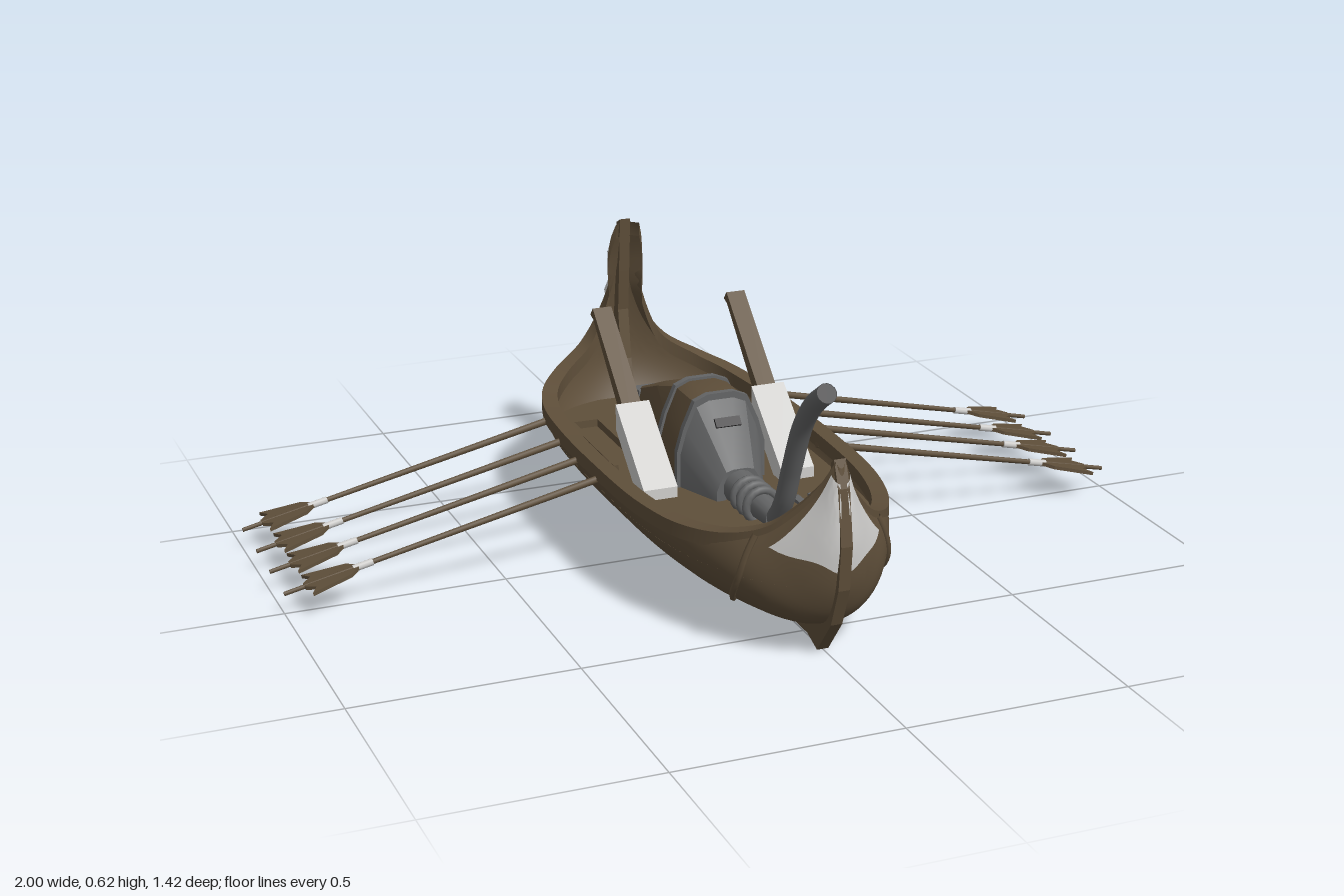
import * as THREE from 'three';
import { toCreasedNormals } from 'three/addons/utils/BufferGeometryUtils.js';

const mat = (name, color) => {
  const m = new THREE.MeshStandardMaterial({ color, side: THREE.DoubleSide });
  m.name = name;
  return m;
};
const V = (x, y, z) => new THREE.Vector3(x, y, z);

// Surface through rows of points
function loft(rows, crease = 0.6) {
  const n = rows[0].length, idx = [];
  for (let i = 0; i < rows.length - 1; i++)
    for (let j = 0; j < n - 1; j++) {
      const a = i * n + j, b = a + 1, c = a + n, d = c + 1;
      idx.push(a, c, b, b, c, d);
    }
  const g = new THREE.BufferGeometry().setFromPoints(rows.flat());
  g.setIndex(idx);
  return toCreasedNormals(g, crease);
}

// Plate drawn in the (z, y) plane and given a thickness across x
function sidePlate(points, depth) {
  const s = new THREE.Shape(points.map(p => new THREE.Vector2(p[0], p[1])));
  const g = new THREE.ExtrudeGeometry(s, { depth, bevelEnabled: false });
  return g.translate(0, 0, -depth / 2).rotateY(-Math.PI / 2);
}

// Hull stations from bow to stern: rim x, y, z, then keel y, z
const stations = [
  [0.008, 0.45, 0.672, 0.44, 0.68], [0.035, 0.39, 0.645, 0.34, 0.698],
  [0.07, 0.34, 0.617, 0.25, 0.70], [0.12, 0.29, 0.575, 0.15, 0.68],
  [0.18, 0.262, 0.51, 0.08, 0.63], [0.235, 0.247, 0.40, 0.055, 0.5],
  [0.27, 0.245, 0.25, 0.045, 0.3], [0.283, 0.245, 0, 0.045, 0],
  [0.28, 0.245, -0.25, 0.045, -0.25], [0.265, 0.248, -0.4, 0.05, -0.42],
  [0.235, 0.26, -0.49, 0.08, -0.5], [0.185, 0.28, -0.55, 0.14, -0.56],
  [0.1, 0.33, -0.595, 0.24, -0.61], [0.035, 0.45, -0.6, 0.36, -0.62],
  [0.008, 0.62, -0.575, 0.58, -0.585],
];
const last = stations.length - 1;
const rimCurve = new THREE.CatmullRomCurve3(stations.map(s => V(s[0], s[1], s[2])));
const keelCurve = new THREE.CatmullRomCurve3(stations.map(s => V(0, s[3], s[4])));
const rimAt = u => rimCurve.getPoint(u / last);
// v runs from -1 (right rim) through 0 (keel) to 1 (left rim)
function hullAt(u, v) {
  const r = rimAt(u), k = keelCurve.getPoint(u / last), a = v * Math.PI / 2;
  const h = 1 - Math.cos(a);
  return V(r.x * Math.sin(a), k.y + (r.y - k.y) * h, k.z + (r.z - k.z) * h);
}
const steps = (n, f) => Array.from({ length: n + 1 }, (_, i) => f(i / n));

export function createModel() {
  const root = new THREE.Group();
  root.name = 'rowingShip';
  const wood = mat('brown wood', 0x5f4f3a), metal = mat('grey metal', 0x646566);
  const pale = mat('pale cloth', 0xcfcecc), dark = mat('dark opening', 0x29282a);
  const add = (name, geo, m, parent = root) => {
    const mesh = new THREE.Mesh(geo, m);
    mesh.name = name;
    parent.add(mesh);
    return mesh;
  };
  const box = (name, m, w, h, d, x, y, z) =>
    add(name, new THREE.BoxGeometry(w, h, d).translate(x, y, z), m);

  // Hull shell
  add('hull', loft(steps(70, t => steps(32, q => hullAt(t * last, q * 2 - 1))), 1), wood);

  // Deck, cut to the hull at its height
  const deckY = 0.18;
  add('deck', loft(steps(40, t => {
    const u = 2.8 + t * 8.5, r = rimAt(u), k = keelCurve.getPoint(u / last);
    const v = Math.acos(1 - (deckY - k.y) / (r.y - k.y)) / Math.PI * 2;
    const p = hullAt(u, v);
    return [p, V(-p.x, p.y, p.z)];
  })), wood);

  for (const s of [-1, 1]) {
    const side = s > 0 ? 'left' : 'right';
    // Rim rail following the gunwale
    add(side + 'Rim', loft(steps(80, t => {
      const p = rimCurve.getPoint(t), d = rimCurve.getTangent(t);
      const len = Math.hypot(d.x, d.z) || 1, nx = -d.z / len, nz = d.x / len;
      const at = (o, y) => V(s * Math.max(0, p.x + nx * o), p.y + y, p.z + nz * o);
      return [at(0.005, -0.03), at(0.005, 0.003), at(-0.032, 0.003), at(-0.032, -0.03), at(0.005, -0.03)];
    })), wood);

    // Diagonal strip across the bow planking
    const strip = steps(12, t => hullAt(3.3 + 2.5 * t, s * (0.97 - 0.77 * t)));
    add(side + 'BowStrip', new THREE.TubeGeometry(new THREE.CatmullRomCurve3(strip), 24, 0.008, 6), wood);

    // Pale covering on the bow
    add(side + 'BowCover', loft(steps(16, t => steps(10, q => {
      const v = 0.08 + 0.78 * q;
      const end = 2.3 + 0.75 * q - 0.35 * Math.sin(q * Math.PI);
      const p = hullAt(0.3 + t * (end - 0.3), s * v);
      return V(p.x + s * 0.005, p.y, p.z + 0.005);
    })), 1), pale);

    // Slanted arm, its pale block and the slot frame around it
    const arm = sidePlate([[0.03, 0.18], [-0.275, 0.49], [-0.292, 0.512], [-0.262, 0.512], [-0.08, 0.355], [0.07, 0.2]].slice(0, 2)
      .concat([[-0.295, 0.497], [-0.278, 0.516], [0.03, 0.235]]), 0.045);
    add(side + 'Arm', arm.translate(s * 0.165, 0, 0), wood);
    const block = sidePlate([[0.09, 0.205], [-0.085, 0.35], [-0.085, 0.29], [0.05, 0.175], [0.09, 0.175]], 0.08);
    add(side + 'ArmBlock', block.translate(s * 0.165, 0, 0), pale);
    for (const x of [0.13, 0.2])
      box(side + 'SlotRail', wood, 0.012, 0.02, 0.31, s * x, 0.188, -0.255);
    box(side + 'SlotEnd', wood, 0.08, 0.02, 0.014, s * 0.165, 0.188, -0.41);

    // Four oars
    for (const z of [-0.385, -0.25, -0.125, 0.005]) {
      const oar = new THREE.Group();
      oar.name = side + 'Oar';
      oar.position.set(s * 0.25, 0.222, z);
      oar.rotation.set(0, s > 0 ? 0 : Math.PI, -Math.atan2(0.167, 0.75));
      root.add(oar);
      const rod = (name, a, b, r1, r2, m) => add(name,
        new THREE.CylinderGeometry(r2, r1, b - a, 8).rotateZ(-Math.PI / 2).translate((a + b) / 2, 0, 0), m, oar);
      rod('shaft', 0, 0.768, 0.009, 0.005, wood);
      rod('wrap', 0.565, 0.61, 0.0085, 0.0085, pale);
      const half = [[0.598, 0.007], [0.62, 0.03], [0.65, 0.037], [0.715, 0.052], [0.7, 0.028], [0.722, 0.01]];
      const outline = half.concat(half.map(p => [p[0], -p[1]]).reverse());
      const shape = new THREE.Shape(outline.map(p => new THREE.Vector2(...p)));
      add('blade', new THREE.ExtrudeGeometry(shape, { depth: 0.008, bevelEnabled: false })
        .translate(0, 0, -0.004).rotateX(Math.PI / 2), wood, oar);
    }
  }

  // Keel with stem and stern posts
  add('keel', sidePlate([
    [0.67, 0.457], [0.693, 0.4], [0.712, 0.28], [0.702, 0.18], [0.667, 0.09], [0.6, 0.007], [0.55, 0.025],
    [-0.46, 0.025], [-0.52, 0.01], [-0.57, 0.157], [-0.62, 0.23], [-0.64, 0.3], [-0.635, 0.38], [-0.615, 0.45],
    [-0.602, 0.55], [-0.59, 0.62], [-0.567, 0.632], [-0.578, 0.5], [-0.588, 0.4], [-0.57, 0.28], [-0.53, 0.15],
    [-0.46, 0.06], [0.56, 0.06], [0.62, 0.09], [0.66, 0.18], [0.68, 0.28], [0.668, 0.38], [0.655, 0.445],
  ], 0.026), wood);

  // Scalloped fin behind the stern post
  add('sternFin', sidePlate([
    [-0.58, 0.61], [-0.63, 0.545], [-0.685, 0.52], [-0.676, 0.455], [-0.711, 0.415],
    [-0.672, 0.35], [-0.685, 0.268], [-0.62, 0.275], [-0.62, 0.42], [-0.6, 0.5],
  ], 0.008), pale);

  // Deck house: arched sections at a given half width, top and z
  const arch = (w, top, z) => {
    const h = top - 0.17;
    const half = [[1, 0], [1, 0.42], [0.85, 0.67], [0.6, 0.94], [0.3, 1]];
    return half.concat(half.map(p => [-p[0], p[1]]).reverse()).map(p => V(p[0] * w, 0.17 + p[1] * h, z));
  };
  const point = (y, z) => Array.from({ length: 10 }, () => V(0, y, z));
  add('houseRoof', loft([arch(0.1, 0.385, 0.03), arch(0.1, 0.385, -0.09), arch(0.065, 0.325, -0.26),
    arch(0.026, 0.252, -0.44), point(0.17, -0.44)]), wood);
  add('houseFront', loft([point(0.2, 0.15), arch(0.055, 0.25, 0.15), arch(0.1, 0.383, 0.032)], 0.4), metal);
  for (const z of [0.03, -0.085])
    add('houseBand', loft([point(0.17, z + 0.008), arch(0.106, 0.391, z + 0.008),
      arch(0.106, 0.391, z - 0.008), point(0.17, z - 0.008)], 0.4), metal);
  box('houseTailCap', metal, 0.055, 0.06, 0.04, 0, 0.222, -0.43);
  const slot = box('frontSlot', dark, 0.06, 0.006, 0.022, 0, 0, 0);
  slot.position.set(0, 0.335, 0.077);
  slot.rotation.x = Math.atan2(0.133, 0.118);

  // Curved spout rising over the bow
  const path = new THREE.CatmullRomCurve3([
    V(0, 0.21, 0.13), V(0, 0.205, 0.25), V(0, 0.205, 0.34), V(0, 0.26, 0.39), V(0, 0.35, 0.43),
    V(0, 0.465, 0.485), V(0, 0.53, 0.54), V(0, 0.575, 0.603)]);
  add('spout', new THREE.TubeGeometry(path, 48, 0.022, 14), metal);
  const mouth = add('spoutMouth', new THREE.CircleGeometry(0.0215, 14), dark);
  mouth.position.copy(path.getPoint(0.998));
  mouth.lookAt(path.getPoint(0.998).add(path.getTangent(1)));
  add('spoutBase', new THREE.CylinderGeometry(0.024, 0.042, 0.22, 14).rotateX(Math.PI / 2).translate(0, 0.207, 0.24), metal);
  for (const z of [0.2, 0.235, 0.27])
    add('spoutCollar', new THREE.TorusGeometry(0.036, 0.01, 8, 18).translate(0, 0.207, z), metal);

  // Small plates on the deck beside the spout
  for (const x of [0.11, 0.15]) box('deckPlate', metal, 0.018, 0.008, 0.08, x, 0.186, 0.24);
  return root;
}
